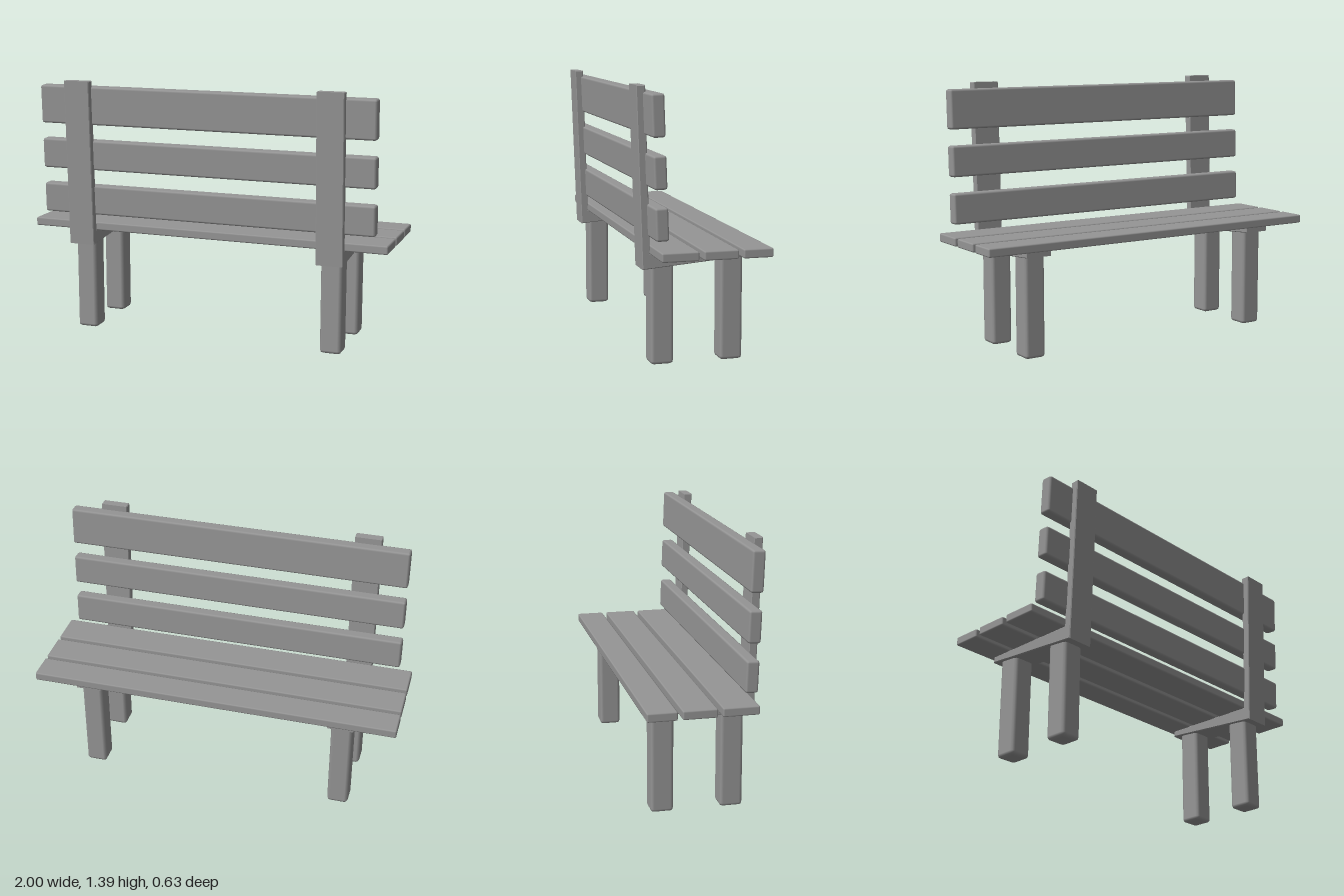
import * as THREE from 'three';
import { RoundedBoxGeometry } from 'three/addons/geometries/RoundedBoxGeometry.js';

const material = new THREE.MeshStandardMaterial({ color: 0x959595 });

export function createModel() {
  const bench = new THREE.Group();
  bench.name = 'bench';

  const add = (name, geometry, x, y, z) => {
    const mesh = new THREE.Mesh(geometry, material);
    mesh.name = name;
    mesh.position.set(x, y, z);
    bench.add(mesh);
    return mesh;
  };
  // Softly bevelled timber
  const beam = (name, size, pos, bevel) =>
    add(name, new RoundedBoxGeometry(...size, 1, bevel), ...pos);

  // Seat planks: [back edge z, front edge z]
  for (const [z1, z0] of [[0.246, 0.061], [0.036, -0.138], [-0.162, -0.314]]) {
    beam('seatPlank', [2, 0.046, z1 - z0], [0, 0.586, (z0 + z1) / 2], 0.008);
  }

  // Backrest slats, leaning with the posts: [centre y, centre z, height]
  for (const [y, z, h] of [[1.253, 0.244, 0.208], [0.982, 0.234, 0.163], [0.733, 0.225, 0.162]]) {
    beam('backSlat', [1.868, h, 0.065], [0, y, z], 0.012).rotation.x = 0.036;
  }

  // Side bracket: leaning post and tapered seat support in one piece, drawn as (z, y)
  const bevel = 0.004, width = 0.145;
  const profile = new THREE.Shape([
    [0.282, 0.487], [0.313, 1.388], [0.267, 1.388], [0.244, 0.566], [-0.283, 0.566], [-0.283, 0.533],
  ].map(([z, y]) => new THREE.Vector2(z, y)));
  const bracket = new THREE.ExtrudeGeometry(profile, {
    depth: width - 2 * bevel, bevelThickness: bevel, bevelSize: bevel, bevelOffset: -bevel, bevelSegments: 1,
  });
  bracket.translate(0, 0, bevel - width / 2);
  bracket.rotateY(-Math.PI / 2);

  // Brackets and legs on both sides
  for (const side of [-1, 1]) {
    add('sideBracket', bracket, side * 0.7025, 0, 0);
    for (const z of [0.176, -0.183]) {
      beam('leg', [0.115, 0.55, 0.118], [side * 0.702, 0.274, z], 0.018);
    }
  }
  return bench;
}
